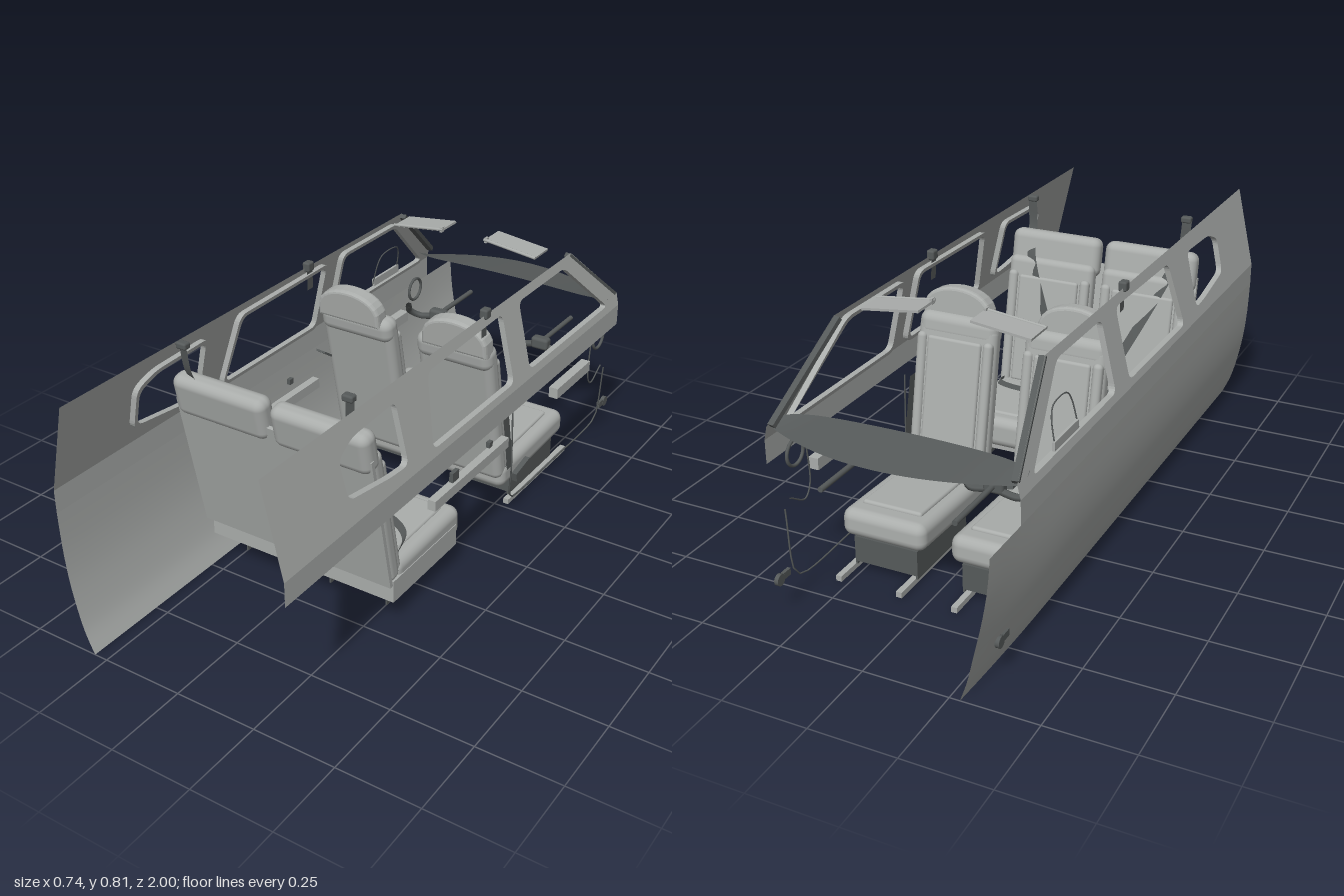
import * as THREE from 'three';
import { RoundedBoxGeometry } from 'three/addons/geometries/RoundedBoxGeometry.js';

const V = (x, y, z) => new THREE.Vector3(x, y, z);

export function createModel() {
  const root = new THREE.Group();
  const light = new THREE.MeshStandardMaterial({ color: 0xaaadab, side: THREE.DoubleSide });
  light.name = 'light grey';
  const dark = new THREE.MeshStandardMaterial({ color: 0x565a5a, side: THREE.DoubleSide });
  dark.name = 'dark grey';

  const add = (name, geo, mat, x = 0, y = 0, z = 0, rx = 0, rz = 0) => {
    const m = new THREE.Mesh(geo, mat);
    m.name = name;
    m.position.set(x, y, z);
    m.rotation.set(rx, 0, rz);
    root.add(m);
    return m;
  };
  const box = (w, h, d) => new THREE.BoxGeometry(w, h, d);
  const soft = (w, h, d, r) => new RoundedBoxGeometry(w, h, d, 3, r);
  // Straight bar between two points
  const bar = (name, a, b, w, t, mat) => {
    const m = add(name, box(w, t, a.distanceTo(b)), mat);
    m.position.copy(a).lerp(b, 0.5);
    m.lookAt(b);
  };
  const tube = (name, pts, r, mat) =>
    add(name, new THREE.TubeGeometry(new THREE.CatmullRomCurve3(pts), 32, r, 6), mat);
  // Webbing strap: a flat strip swept along a curve, spread along one axis
  const strap = (name, pts, width, axis) => {
    const curve = new THREE.CatmullRomCurve3(pts), n = 24;
    const g = new THREE.PlaneGeometry(1, 1, 1, n), p = g.attributes.position;
    for (let i = 0; i < p.count; i++) {
      const c = curve.getPoint(Math.floor(i / 2) / n).addScaledVector(axis, (i % 2 - 0.5) * width);
      p.setXYZ(i, c.x, c.y, c.z);
    }
    g.computeVertexNormals();
    add(name, g, dark);
  };

  // Polygon with rounded corners
  const roundPoly = (pts, r, T = THREE.Shape) => {
    const s = new T(), n = pts.length;
    pts.forEach(([x, y], i) => {
      const [px, py] = pts[(i + n - 1) % n], [nx, ny] = pts[(i + 1) % n];
      const a = r / Math.hypot(px - x, py - y), b = r / Math.hypot(nx - x, ny - y);
      const sx = x + (px - x) * a, sy = y + (py - y) * a;
      if (i) s.lineTo(sx, sy); else s.moveTo(sx, sy);
      s.quadraticCurveTo(x, y, x + (nx - x) * b, y + (ny - y) * b);
    });
    s.closePath();
    return s;
  };
  const grow = (pts, d) => {
    const cx = pts.reduce((a, p) => a + p[0], 0) / pts.length;
    const cy = pts.reduce((a, p) => a + p[1], 0) / pts.length;
    return pts.map(([x, y]) => [x + Math.sign(x - cx) * d, y + Math.sign(y - cy) * d]);
  };

  // Cabin side: shapes drawn in (z, y) and leaned onto the fuselage
  const upperX = y => 0.368 - Math.max(0, y - 0.5) * 0.23;
  const lean = (g, s) => {
    const p = g.attributes.position;
    for (let i = 0; i < p.count; i++) {
      const z = p.getX(i), y = p.getY(i), depth = p.getZ(i);
      p.setXYZ(i, s * (upperX(y) - depth), y, z);
    }
    g.computeVertexNormals();
    return g;
  };
  const windows = [
    [[0.715, 0.675], [0.645, 0.705], [0.447, 0.712], [0.445, 0.535], [0.53, 0.54], [0.71, 0.565]],
    [[0.285, 0.725], [-0.125, 0.732], [-0.125, 0.522], [0.325, 0.522]],
    [[-0.225, 0.732], [-0.515, 0.732], [-0.755, 0.524], [-0.225, 0.524]],
  ];
  for (const s of [-1, 1]) {
    const side = new THREE.Shape([[1, 0.5], [1, 0.762], [-0.57, 0.762], [-0.835, 0.54], [-0.835, 0.5]]
      .map(([z, y]) => new THREE.Vector2(z, y)));
    windows.forEach(w => side.holes.push(roundPoly(w, 0.025, THREE.Path)));
    add('upperWall', lean(new THREE.ShapeGeometry(side, 6), s), light);
    add('wallBelt', lean(new THREE.ShapeGeometry(new THREE.Shape(
      [[1, 0.43], [1, 0.5], [-0.835, 0.5], [-0.835, 0.43]].map(([z, y]) => new THREE.Vector2(z, y)))), s), light);
    for (const w of windows) {
      const ring = roundPoly(grow(w, 0.012), 0.03);
      ring.holes.push(roundPoly(w, 0.025, THREE.Path));
      add('windowRim', lean(new THREE.ExtrudeGeometry(ring, { depth: 0.018, bevelEnabled: false, curveSegments: 6 }), s), light);
    }
    // Windscreen pillar trim
    bar('windscreenPillar', V(s * 0.30, 0.755, -0.565), V(s * 0.35, 0.54, -0.825), 0.02, 0.014, dark);
    // Arm rests and wall fittings
    add('rearArmRest', box(0.025, 0.032, 0.42), light, s * 0.345, 0.325, 0.09);
    add('frontArmRest', box(0.03, 0.035, 0.23), light, s * 0.348, 0.35, -0.54);
    add('wallSwitch', box(0.012, 0.03, 0.034), dark, s * 0.357, 0.375, 0.2);
    add('wallSocket', box(0.012, 0.018, 0.018), dark, s * 0.357, 0.378, 0.0);
    add('ventRing', new THREE.TorusGeometry(0.038, 0.005, 8, 28).rotateY(Math.PI / 2), dark, s * 0.352, 0.42, -0.73);
    add('sideKnob', new THREE.CylinderGeometry(0.017, 0.017, 0.012, 16).rotateZ(Math.PI / 2), dark, s * 0.328, 0.11, -0.875);
    add('sideKnobStem', box(0.01, 0.02, 0.03), dark, s * 0.328, 0.113, -0.845);
  }

  // Lower side panel, present on one side only, tapering toward the nose
  const profile = new THREE.SplineCurve([[0.292, 0], [0.318, 0.06], [0.337, 0.13], [0.354, 0.22], [0.364, 0.32], [0.368, 0.43]]
    .map(([x, y]) => new THREE.Vector2(x, y)));
  const lower = new THREE.PlaneGeometry(1, 1, 24, 16), lp = lower.attributes.position;
  for (let i = 0; i < lp.count; i++) {
    const q = profile.getPoint(lp.getY(i) + 0.5), z = lp.getX(i) * 2;
    const nose = Math.max(0, (-z - 0.55) / 0.45);
    lp.setXYZ(i, -q.x + nose * nose * (0.012 + 0.02 * Math.sin(q.y / 0.43 * Math.PI)) * (1 - q.y / 0.43), q.y, z);
  }
  lower.computeVertexNormals();
  add('lowerWall', lower, light);

  // Small opening pane in the front side window
  tube('ventPaneFrame', [V(-0.358, 0.53, -0.47), V(-0.34, 0.61, -0.477), V(-0.335, 0.634, -0.495),
    V(-0.335, 0.634, -0.58), V(-0.34, 0.61, -0.6), V(-0.358, 0.53, -0.615)], 0.002, dark);
  add('ventPaneSill', box(0.008, 0.025, 0.15), light, -0.355, 0.54, -0.545);

  // Thin hose and lead on the open side
  tube('hose', [V(0.34, 0.42, -0.17), V(0.345, 0.2, -0.17), V(0.335, 0.09, -0.19), V(0.33, 0.07, -0.25),
    V(0.33, 0.068, -0.5), V(0.33, 0.07, -0.77), V(0.335, 0.09, -0.795), V(0.35, 0.28, -0.797)], 0.0025, dark);
  tube('lead', [V(0.35, 0.42, -0.68), V(0.35, 0.3, -0.675), V(0.35, 0.265, -0.7), V(0.35, 0.3, -0.77)], 0.0025, dark);

  // Glare shield: bowed plate, sloping down to the nose
  const shield = new THREE.PlaneGeometry(1, 1, 24, 3), sp = shield.attributes.position;
  for (let i = 0; i < sp.count; i++) {
    const u = sp.getX(i) * 2, v = sp.getY(i) + 0.5;
    const front = -0.91 + 0.105 * u * u, back = -0.735 - 0.03 * Math.abs(u) ** 8;
    sp.setXYZ(i, u * 0.36, 0.556 - v * 0.022 - 0.012 * u * u, back + (front - back) * v);
  }
  shield.computeVertexNormals();
  add('glareShield', shield, dark);

  for (const s of [-1, 1]) {
    // Sun visors
    add('sunVisor', box(0.175, 0.007, 0.085), light, s * 0.163, 0.785, -0.485, 0, -s * 0.12);
    add('visorRod', new THREE.CylinderGeometry(0.005, 0.005, 0.18, 8).rotateZ(Math.PI / 2), light, s * 0.163, 0.788, -0.44, 0, -s * 0.12);
    add('visorKnob', box(0.008, 0.016, 0.016), light, s * 0.08, 0.797, -0.445);

    // Control yokes
    const x = s * 0.195;
    add('yokeShaft', new THREE.CylinderGeometry(0.008, 0.008, 0.22, 10).rotateX(Math.PI / 2), dark, x, 0.402, -0.74);
    add('yokeHub', soft(0.06, 0.04, 0.035, 0.01), dark, x, 0.4, -0.63);
    tube('yokeHandle', [V(x - 0.085, 0.435, -0.575), V(x - 0.098, 0.405, -0.6), V(x - 0.075, 0.38, -0.63), V(x, 0.39, -0.635),
      V(x + 0.075, 0.38, -0.63), V(x + 0.098, 0.405, -0.6), V(x + 0.085, 0.435, -0.575)], 0.011, dark);

    // Front seat
    const fx = s * 0.172;
    add('frontCushion', soft(0.265, 0.085, 0.42, 0.03), light, fx, 0.145, -0.4, 0.04);
    add('frontCushionPad', soft(0.19, 0.02, 0.32, 0.009), light, fx, 0.187, -0.39, 0.04);
    add('frontBack', soft(0.255, 0.48, 0.06, 0.025), light, fx, 0.37, -0.165, 0.2);
    add('frontBackPad', soft(0.175, 0.38, 0.02, 0.009), light, fx, 0.375, -0.195, 0.2);
    for (const e of [-1, 1])
      add('frontBolster', soft(0.03, 0.42, 0.04, 0.014), light, fx + e * 0.108, 0.36, -0.19, 0.2);
    add('frontUpperRoll', soft(0.255, 0.08, 0.07, 0.03), light, fx, 0.585, -0.118, 0.15);
    const hump = new THREE.Shape();
    hump.moveTo(-0.1, 0);
    hump.lineTo(-0.098, 0.035);
    hump.bezierCurveTo(-0.08, 0.1, 0.08, 0.1, 0.098, 0.035);
    hump.lineTo(0.1, 0);
    hump.closePath();
    add('frontHeadRest', new THREE.ExtrudeGeometry(hump, { depth: 0.03, bevelEnabled: true, bevelSize: 0.01,
      bevelThickness: 0.012, bevelSegments: 3, curveSegments: 12 }), light, s * 0.185, 0.61, -0.115, 0.1);
    // Open pedestal and floor rails
    for (const e of [-1, 1]) {
      add('pedestalSide', box(0.006, 0.09, 0.29), dark, fx + e * 0.098, 0.06, -0.445);
      add('pedestalEnd', box(0.196, 0.08, 0.006), dark, fx, 0.065, -0.445 + e * 0.142);
      add('seatRail', box(0.018, 0.017, 0.4), light, s * 0.183 + e * 0.097, 0.0085, -0.47);
    }
    add('pedestalTop', box(0.2, 0.005, 0.29), dark, fx, 0.102, -0.445);
    add('seatLever', box(0.02, 0.03, 0.09), dark, s * 0.312, 0.125, -0.3, 0.2);
    add('frontBuckle', box(0.03, 0.07, 0.03), dark, s * 0.06, 0.21, -0.26, 0.3);
    // Front belts
    add('frontBeltAnchor', soft(0.025, 0.03, 0.03, 0.006), dark, s * 0.305, 0.765, -0.042);
    strap('frontShoulderBelt', [V(s * 0.3, 0.765, -0.042), V(s * 0.302, 0.69, -0.045)], 0.028, V(0, 0, 1));
    strap('frontSideBelt', [V(s * 0.308, 0.43, -0.175), V(s * 0.308, 0.3, -0.205), V(s * 0.306, 0.16, -0.235)], 0.035, V(0, 0, 1));
    strap('frontLapBelt', [V(s * 0.3, 0.17, -0.23), V(s * 0.285, 0.2, -0.27), V(s * 0.2, 0.205, -0.24), V(s * 0.06, 0.2, -0.25)], 0.03, V(0, 0, 1));

    // Rear seat
    const rx = s * 0.165;
    add('rearCushion', soft(0.3, 0.1, 0.35, 0.03), light, rx, 0.143, 0.252, 0.03);
    add('rearCushionPad', soft(0.22, 0.02, 0.26, 0.009), light, rx, 0.191, 0.25, 0.03);
    add('rearBack', soft(0.3, 0.46, 0.055, 0.022), light, rx, 0.365, 0.475, 0.2);
    add('rearBackPad', soft(0.21, 0.36, 0.02, 0.009), light, rx, 0.36, 0.445, 0.2);
    for (const e of [-1, 1])
      add('rearBolster', soft(0.032, 0.4, 0.04, 0.014), light, rx + e * 0.128, 0.35, 0.45, 0.2);
    add('rearHeadRest', soft(0.312, 0.13, 0.066, 0.028), light, rx, 0.607, 0.548, 0.2);
    for (const lx of [0.055, 0.25])
      add('rearLeg', box(0.005, 0.09, 0.235), dark, s * lx, 0.045, 0.265);
    // Rear belts
    add('rearBeltAnchor', soft(0.034, 0.02, 0.025, 0.006), dark, s * 0.268, 0.77, 0.58);
    strap('rearShoulderBelt', [V(s * 0.27, 0.768, 0.58), V(s * 0.262, 0.67, 0.565), V(s * 0.24, 0.6, 0.505),
      V(s * 0.16, 0.42, 0.44), V(s * 0.07, 0.24, 0.37), V(s * 0.05, 0.215, 0.32)], 0.035, V(1, 0, 0.3));
    strap('rearLapBelt', [V(s * 0.29, 0.19, 0.4), V(s * 0.27, 0.21, 0.32), V(s * 0.2, 0.22, 0.28),
      V(s * 0.12, 0.22, 0.28), V(s * 0.05, 0.21, 0.32), V(s * 0.03, 0.19, 0.4)], 0.035, V(s * 0.2, 0, 1));
    add('rearBuckle', box(0.03, 0.05, 0.03), dark, s * 0.045, 0.215, 0.35, 0.3);
  }

  // Shared back board and base of the rear bench
  add('rearBackBoard', box(0.645, 0.455, 0.012), light, 0, 0.365, 0.512, 0.2);
  add('rearBase', box(0.635, 0.07, 0.32), light, 0, 0.112, 0.27);
  add('rearBaseBack', box(0.635, 0.07, 0.03), light, 0, 0.112, 0.435);
  // Belt side panel beside one front seat
  bar('seatSideBelt', V(-0.302, 0.46, -0.09), V(-0.265, 0.2, -0.46), 0.035, 0.006, dark);
  return root;
}
